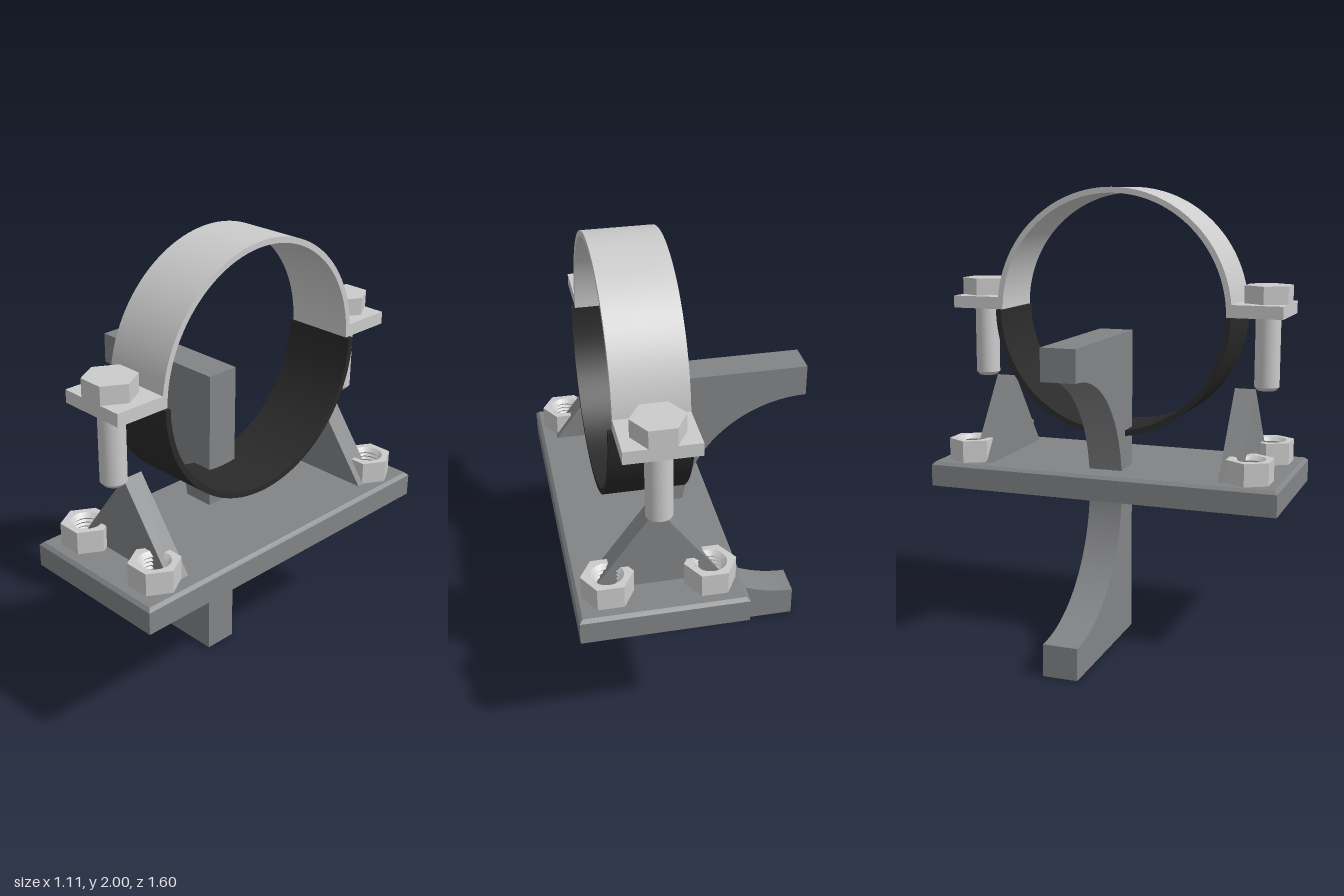
import * as THREE from 'three';
import { toCreasedNormals } from 'three/addons/utils/BufferGeometryUtils.js';

const steel = new THREE.MeshStandardMaterial({ color: 0xcccccc });
const threadSteel = new THREE.MeshStandardMaterial({ color: 0xcccccc, side: THREE.DoubleSide });
const darkSteel = new THREE.MeshStandardMaterial({ color: 0x838486 });
const rubber = new THREE.MeshStandardMaterial({ color: 0x2a2a2a });

const AXIS_X = 0.207;   // middle of the clamp band
const RING_Y = 1.455;   // split line of the clamp
const R_OUT = 0.545, R_IN = 0.52;

function add(parent, name, geometry, material, x = 0, y = 0, z = 0) {
  const mesh = new THREE.Mesh(geometry, material);
  mesh.name = name;
  mesh.position.set(x, y, z);
  parent.add(mesh);
  return mesh;
}

// Extrudes a shape symmetrically about z = 0, keeping hard edges crisp
function slab(shape, depth) {
  const geo = new THREE.ExtrudeGeometry(shape, { depth, bevelEnabled: false, curveSegments: 64 });
  geo.translate(0, 0, -depth / 2);
  return toCreasedNormals(geo, 0.5);
}

const polygon = (points) => new THREE.Shape(points.map(([x, y]) => new THREE.Vector2(x, y)));

// Hexagonal prism standing on y = 0 with corners pointing along x
function hexPrism(radius, height, holeRadius = 0) {
  const shape = polygon(Array.from({ length: 6 }, (_, i) =>
    [radius * Math.cos(i * Math.PI / 3), radius * Math.sin(i * Math.PI / 3)]));
  if (holeRadius) shape.holes.push(new THREE.Path().absarc(0, 0, holeRadius, 0, Math.PI * 2, true));
  return slab(shape, height).rotateX(-Math.PI / 2).translate(0, height / 2, 0);
}

// Rectangular plate with a small chamfer round its top edge
function chamferedPlate(width, height, depth, chamfer) {
  const geo = new THREE.BoxGeometry(width, height, depth, 1, 2, 1).toNonIndexed();
  const p = geo.attributes.position;
  for (let i = 0; i < p.count; i++) {
    if (p.getY(i) > height / 4) {
      p.setX(i, p.getX(i) - Math.sign(p.getX(i)) * chamfer);
      p.setZ(i, p.getZ(i) - Math.sign(p.getZ(i)) * chamfer);
    } else if (p.getY(i) > -height / 4) {
      p.setY(i, height / 2 - chamfer);
    }
  }
  geo.computeVertexNormals();
  return geo;
}

// Upright bracket with a semicircular cut-out
function bracketShape() {
  const s = new THREE.Shape();
  s.moveTo(-0.555, 0);
  s.lineTo(0.132, 0);
  s.lineTo(0.132, 1.378);
  s.lineTo(-0.555, 1.378);
  s.lineTo(-0.555, 1.24);
  s.absarc(-0.555, 0.69, 0.55, Math.PI / 2, -Math.PI / 2, true);
  return s;
}

// Upper clamp half, including both flanges
function clampShape() {
  const flangeEnd = 0.765, flangeTop = 0.055;
  const a = Math.asin(flangeTop / R_OUT);
  const s = new THREE.Shape();
  s.moveTo(R_IN, 0);
  s.lineTo(flangeEnd, 0);
  s.lineTo(flangeEnd, flangeTop);
  s.absarc(0, 0, R_OUT, a, Math.PI - a, false);
  s.lineTo(-flangeEnd, flangeTop);
  s.lineTo(-flangeEnd, 0);
  s.absarc(0, 0, R_IN, Math.PI, 0, true);
  return s;
}

// Lower half ring that lines the seat of the pipe
function linerShape() {
  const s = new THREE.Shape();
  s.absarc(0, 0, R_OUT, Math.PI, Math.PI * 2, false);
  s.absarc(0, 0, R_IN, Math.PI * 2, Math.PI, true);
  return s;
}

// Hex nut with a countersunk, ridged bore
function makeNut() {
  const nut = new THREE.Group();
  nut.name = 'nut';
  const height = 0.1, rim = 0.068;
  add(nut, 'nutBody', hexPrism(0.108, height, rim), steel);
  const profile = [new THREE.Vector2(rim, 0)];
  for (let i = 0; i < 9; i++) profile.push(new THREE.Vector2(i % 2 ? 0.058 : 0.05, 0.01 + i * 0.009));
  profile.push(new THREE.Vector2(rim, height));
  add(nut, 'nutThread', toCreasedNormals(new THREE.LatheGeometry(profile, 32), 0.5), threadSteel);
  return nut;
}

// Bolt whose head sits on y = 0, shank hanging below
function makeBolt() {
  const bolt = new THREE.Group();
  bolt.name = 'clampBolt';
  add(bolt, 'boltHead', hexPrism(0.11, 0.077), steel);
  const profile = [[0, -0.38], [0.042, -0.38], [0.055, -0.365], [0.055, 0]]
    .map(([r, y]) => new THREE.Vector2(r, y));
  add(bolt, 'boltShank', toCreasedNormals(new THREE.LatheGeometry(profile, 32), 0.5), steel);
  return bolt;
}

export function createModel() {
  const model = new THREE.Group();
  model.name = 'pipeClampBracket';

  add(model, 'curvedBracket', slab(bracketShape(), 0.152), darkSteel);
  add(model, 'basePlate', chamferedPlate(0.688, 0.112, 1.6, 0.014), darkSteel, AXIS_X, 0.71, 0);

  // Clamp band and liner, their axis turned along x
  add(model, 'upperClamp', slab(clampShape(), 0.304).rotateY(Math.PI / 2), steel, AXIS_X, RING_Y, 0);
  add(model, 'lowerLiner', slab(linerShape(), 0.34).rotateY(Math.PI / 2), rubber, AXIS_X, RING_Y, 0);

  // Gusset, bolt and pair of nuts at each end
  const gusset = slab(polygon([[-0.27, 0], [0.27, 0], [0, 0.365]]), 0.094);
  for (const side of [1, -1]) {
    add(model, 'gusset', gusset, darkSteel, AXIS_X, 0.765, side * 0.575);
    const bolt = makeBolt();
    bolt.position.set(AXIS_X, RING_Y + 0.055, side * 0.67);
    model.add(bolt);
    for (const dx of [-0.21, 0.21]) {
      const nut = makeNut();
      nut.position.set(AXIS_X + dx, 0.766, side * 0.652);
      model.add(nut);
    }
  }
  return model;
}
